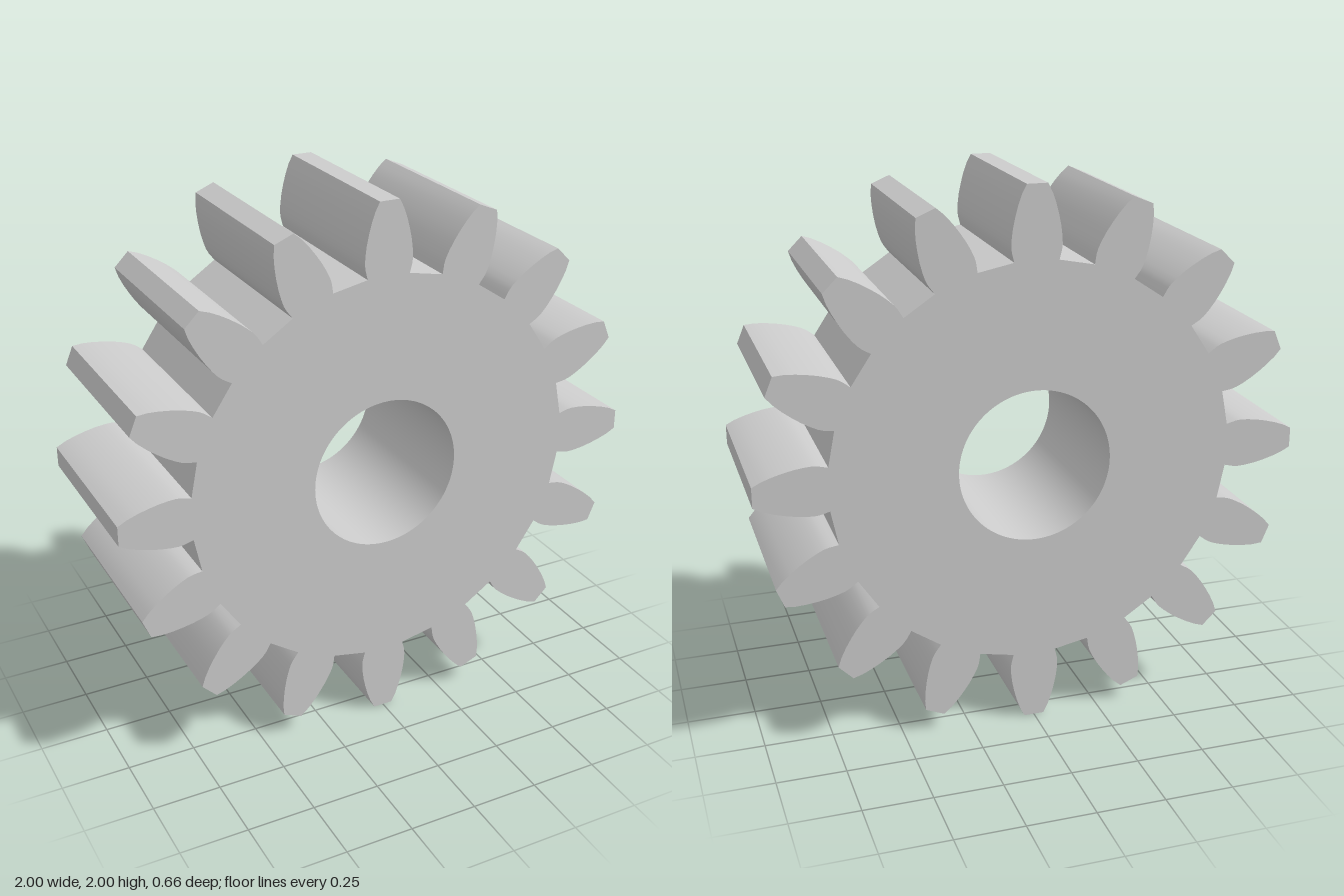
import * as THREE from 'three';
import { toCreasedNormals } from 'three/addons/utils/BufferGeometryUtils.js';

const TEETH = 16, WIDTH = 0.664, BORE = 0.281;

// One flank of a tooth, root to tip: [half thickness, radial distance]
const FLANK = [
  [0.08, 0.738], [0.084, 0.753], [0.089, 0.773], [0.091, 0.793], [0.0895, 0.82],
  [0.085, 0.855], [0.077, 0.893], [0.067, 0.93], [0.054, 0.967], [0.037, 1.0],
];

export function createModel() {
  const group = new THREE.Group();
  group.name = 'spurGear';

  // Toothed outline: up one flank, across the tip, down the other
  const tooth = [
    ...FLANK.map(([h, r]) => new THREE.Vector2(r, -h)),
    ...FLANK.slice().reverse().map(([h, r]) => new THREE.Vector2(r, h)),
  ];
  const origin = new THREE.Vector2();
  const outline = [];
  for (let i = 0; i < TEETH; i++) {
    const angle = (i / TEETH) * Math.PI * 2;
    for (const p of tooth) outline.push(p.clone().rotateAround(origin, angle));
  }
  const shape = new THREE.Shape(outline);

  // Round shaft bore
  shape.holes.push(new THREE.Path().absarc(0, 0, BORE, 0, Math.PI * 2, true));

  const extruded = new THREE.ExtrudeGeometry(shape, {
    depth: WIDTH, bevelEnabled: false, curveSegments: 64,
  });
  extruded.translate(0, 1, -WIDTH / 2);

  const gear = new THREE.Mesh(
    toCreasedNormals(extruded, 0.35),
    new THREE.MeshStandardMaterial({ color: 0xcccccc }),
  );
  gear.name = 'toothedWheel';
  group.add(gear);
  return group;
}
